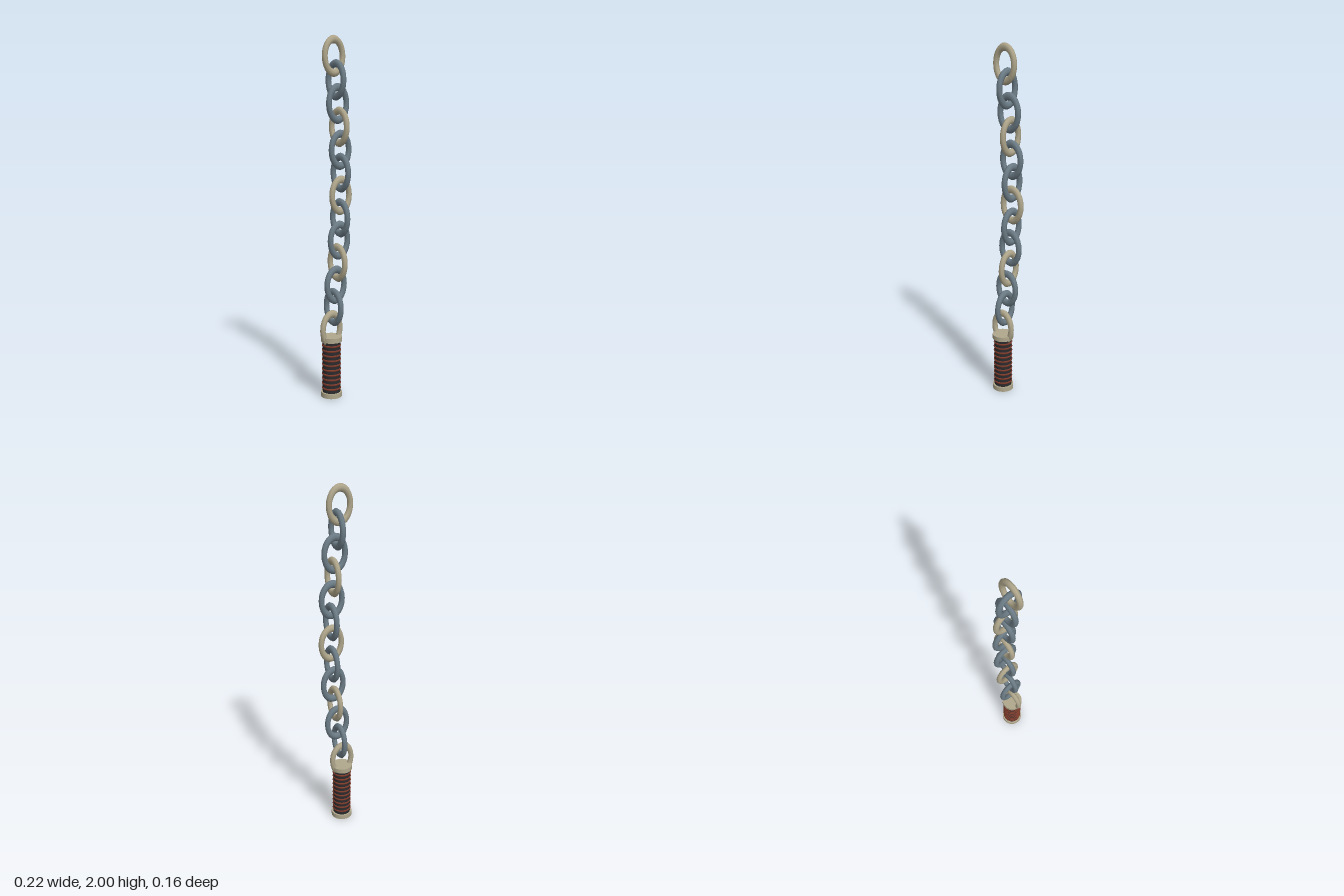
import * as THREE from 'three';

const mat = (name, color) => {
  const m = new THREE.MeshStandardMaterial({ color });
  m.name = name;
  return m;
};

export function createModel() {
  const model = new THREE.Group();
  model.name = 'chainWhip';
  const bone = mat('pale metal', 0xb0a78c);
  const steel = mat('blue steel', 0x6c7c86);
  const dark = mat('dark grip', 0x2b2b2e);
  const red = mat('red cord', 0x7c3a2a);
  const baseX = -0.035;

  const add = (parent, name, geometry, material, x, y) => {
    const mesh = new THREE.Mesh(geometry, material);
    mesh.name = name;
    mesh.position.set(x, y, 0);
    parent.add(mesh);
    return mesh;
  };

  // Handle: grip between two caps
  const handle = new THREE.Group();
  handle.name = 'handle';
  model.add(handle);
  add(handle, 'grip', new THREE.CylinderGeometry(0.05, 0.05, 0.32, 24), dark, baseX, 0.175);
  const cap = new THREE.CylinderGeometry(0.06, 0.06, 0.027, 24);
  add(handle, 'pommel', cap, bone, baseX, 0.0135);
  add(handle, 'collar', cap, bone, baseX, 0.3365);

  // Cord rings wound round the grip
  const ring = new THREE.TorusGeometry(0.048, 0.0065, 8, 24).rotateX(Math.PI / 2);
  for (let i = 0; i < 10; i++) add(handle, 'cordRing', ring, red, baseX, 0.05 + i * 0.0278);

  // Chain: oval links turned a quarter each step, along a gentle bow
  const chain = new THREE.Group();
  chain.name = 'chain';
  model.add(chain);
  const link = new THREE.TorusGeometry(0.062, 0.0155, 8, 24).scale(1, 1.42, 1);
  for (let k = 0; k < 13; k++) {
    const x = baseX + 0.068 * Math.sin(k * 0.24);
    const mesh = add(chain, 'link', link, k % 3 === 0 ? bone : steel, x, 0.39 + k * 0.125);
    if (k % 2) mesh.rotation.y = Math.PI / 2;
  }
  return model;
}
